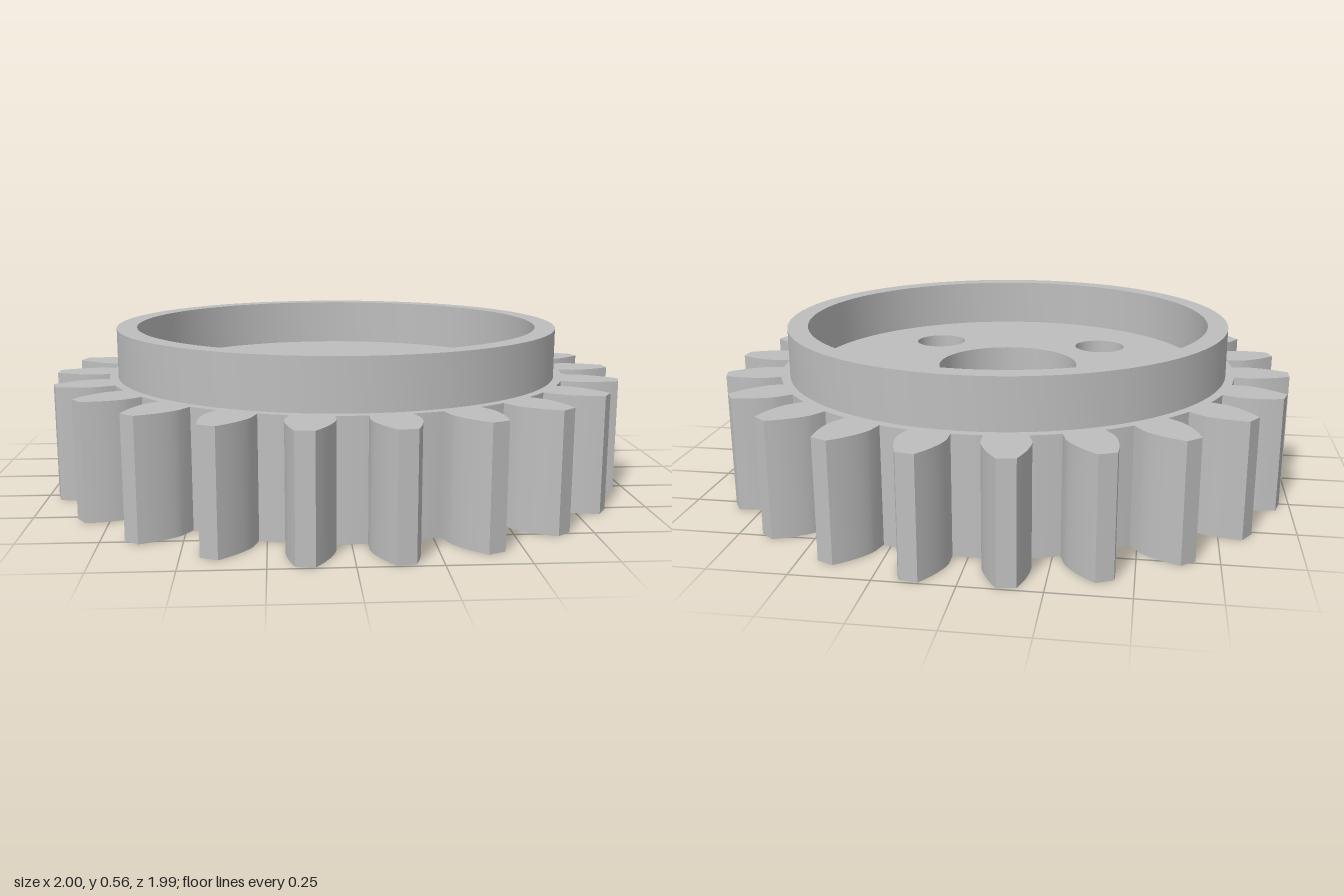
import * as THREE from 'three';
import { toCreasedNormals } from 'three/addons/utils/BufferGeometryUtils.js';

const TEETH = 22, ROOT = 0.81, BASE = 0.861, TIP = 1;
const GEAR_TOP = 0.39, RIM_TOP = 0.56;
const BORE = 0.25, BOLT = 0.094, SINK = 0.18, SINK_DEPTH = 0.09, BOLT_POS = 0.315;

const polar = (r, a) => new THREE.Vector2(r * Math.cos(a), r * Math.sin(a));

// Half the angular width of a tooth at radius r (involute flank)
function halfAngle(r) {
  if (r <= BASE) return 0.0825 + 0.0038 * (r - ROOT) / (BASE - ROOT);
  const a = Math.acos(BASE / r);
  return 0.0863 - (Math.tan(a) - a);
}

// Counter-clockwise outline of the toothed wheel
function gearOutline() {
  const pts = [], steps = 8, pitch = 2 * Math.PI / TEETH;
  const radii = [ROOT];
  for (let i = 0; i <= steps; i++) radii.push(BASE + (TIP - BASE) * i / steps);
  for (let t = 0; t < TEETH; t++) {
    const mid = t * pitch;
    for (const r of radii) pts.push(polar(r, mid - halfAngle(r)));
    for (const r of [...radii].reverse()) pts.push(polar(r, mid + halfAngle(r)));
    // root arc to the next tooth
    const start = mid + halfAngle(ROOT), span = pitch - 2 * halfAngle(ROOT);
    for (let i = 1; i < 6; i++) pts.push(polar(ROOT, start + span * i / 6));
  }
  return pts;
}

// Clockwise circle, so that its wall faces the hole
function circle(cx, cy, r, n = 64) {
  return Array.from({ length: n }, (_, i) =>
    polar(r, -2 * Math.PI * i / n).add(new THREE.Vector2(cx, cy)));
}

// Wall joining two closed loops at different heights
function wall(low, y0, high, y1) {
  const pos = [], n = low.length;
  const put = (p, y) => pos.push(p.x, y, -p.y);
  for (let i = 0; i < n; i++) {
    const j = (i + 1) % n;
    put(low[i], y0); put(low[j], y0); put(high[j], y1);
    put(low[i], y0); put(high[j], y1); put(high[i], y1);
  }
  const g = new THREE.BufferGeometry();
  g.setAttribute('position', new THREE.Float32BufferAttribute(pos, 3));
  return toCreasedNormals(g, 0.45);
}

// Flat toothed face with holes
function face(outline, holes) {
  const shape = new THREE.Shape(outline);
  holes.forEach(h => shape.holes.push(new THREE.Path(h)));
  return new THREE.ShapeGeometry(shape);
}

export function createModel() {
  const group = new THREE.Group();
  const steel = new THREE.MeshStandardMaterial({ color: 0xbebebe });
  steel.name = 'steelGrey';
  const add = (name, geometry) => {
    const mesh = new THREE.Mesh(geometry, steel);
    mesh.name = name;
    group.add(mesh);
  };

  const outline = gearOutline();
  const bore = circle(0, 0, BORE, 96);
  const centres = [[1, 1], [-1, 1], [-1, -1], [1, -1]].map(c => c.map(v => v * BOLT_POS));
  const bolts = centres.map(([x, y]) => circle(x, y, BOLT));
  const sinks = centres.map(([x, y]) => circle(x, y, SINK));

  // Toothed wheel
  add('gearTopFace', face(outline, [bore, ...bolts]).rotateX(-Math.PI / 2).translate(0, GEAR_TOP, 0));
  add('gearBottomFace', face(outline, [bore, ...sinks]).rotateX(Math.PI / 2));
  add('gearTeeth', wall(outline, 0, outline, GEAR_TOP));
  add('boreWall', wall(bore, 0, bore, GEAR_TOP));

  // Countersunk bolt holes, wide end underneath
  bolts.forEach((bolt, i) => {
    add('countersink', wall(sinks[i], 0, bolt, SINK_DEPTH));
    add('boltHoleWall', wall(bolt, SINK_DEPTH, bolt, GEAR_TOP));
  });

  // Raised rim ring
  const profile = [[0.78, GEAR_TOP], [0.78, RIM_TOP], [0.71, RIM_TOP], [0.71, GEAR_TOP]]
    .map(([r, y]) => new THREE.Vector2(r, y));
  add('rim', toCreasedNormals(new THREE.LatheGeometry(profile, 128), 0.5));

  return group;
}
